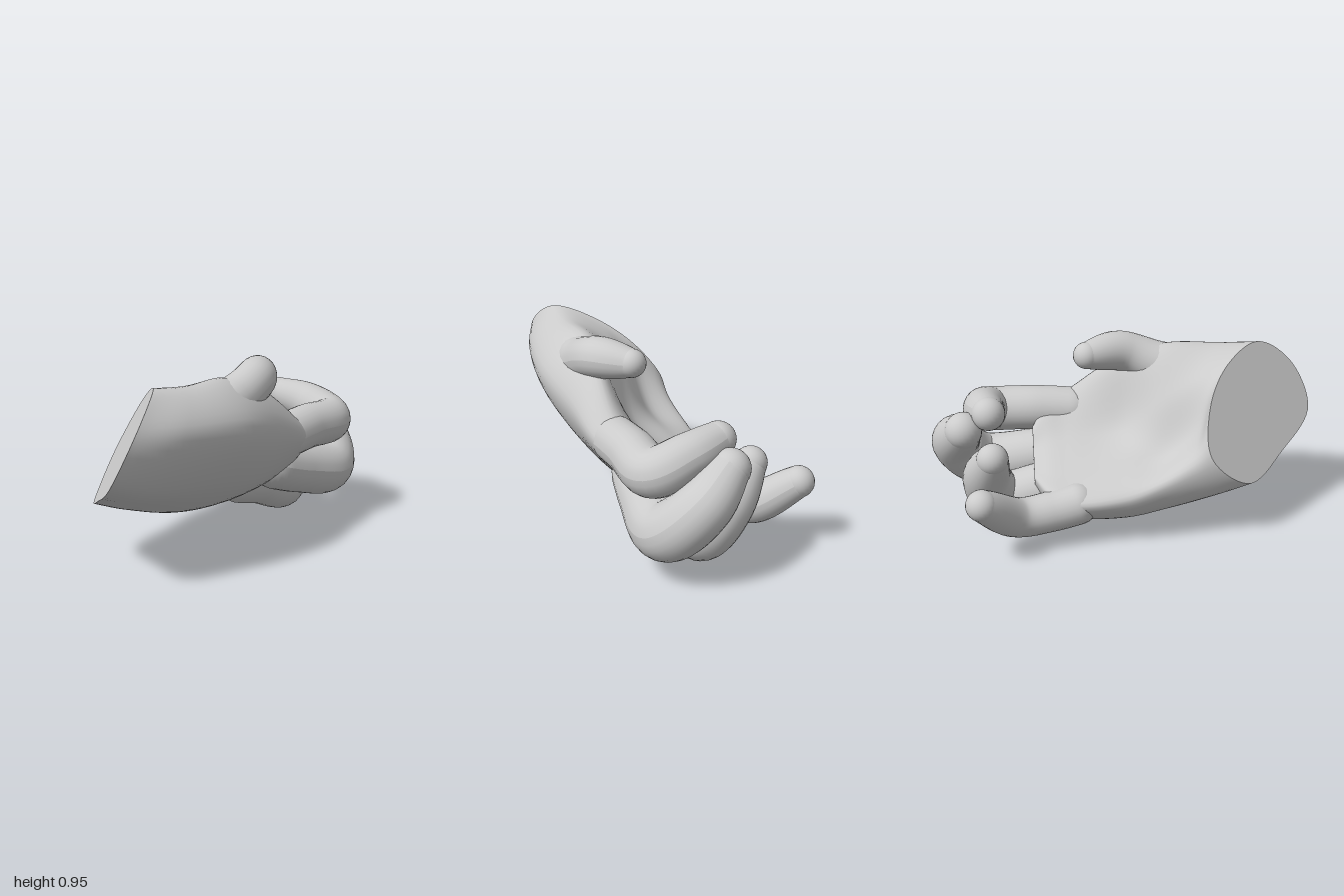
import * as THREE from 'three';

const material = new THREE.MeshStandardMaterial({ color: 0xcccccc });
const { lerp, smoothstep } = THREE.MathUtils;

function mesh(name, geometry) {
  const m = new THREE.Mesh(geometry, material);
  m.name = name;
  return m;
}

function surface(points, index) {
  const g = new THREE.BufferGeometry().setFromPoints(points);
  g.setIndex(index);
  g.computeVertexNormals();
  return g;
}

// Cross-section at depth z, leaning towards the slanted wrist cut;
// x,y pairs run from the little-finger edge over the palm and back under the hand
function section(z, slant, ...xy) {
  return Array.from({ length: xy.length / 2 }, (_, j) => {
    const x = xy[2 * j], y = xy[2 * j + 1];
    return new THREE.Vector3(x, y, z + slant * (1.35 * x - 0.82 * (y - 0.6)));
  });
}

function centerOf(points) {
  return points.reduce((s, p) => s.add(p), new THREE.Vector3()).divideScalar(points.length);
}

// Smooth rings through the cross-sections
function loftRings(sections, rows, cols) {
  const columns = sections[0].map((_, j) => new THREE.CatmullRomCurve3(sections.map(s => s[j])));
  return Array.from({ length: rows + 1 }, (_, i) => {
    const loop = new THREE.CatmullRomCurve3(columns.map(c => c.getPoint(i / rows)), true);
    return Array.from({ length: cols }, (_, j) => loop.getPoint(j / cols));
  });
}

// Skin joining successive rings
function skin(rings) {
  const cols = rings[0].length, index = [];
  for (let i = 0; i < rings.length - 1; i++) {
    for (let j = 0; j < cols; j++) {
      const a = i * cols + j, b = i * cols + (j + 1) % cols;
      index.push(a, b, b + cols, a, b + cols, a + cols);
    }
  }
  return surface(rings.flat(), index);
}

// Flat fan closing a ring
function cap(ring, flip) {
  const n = ring.length, index = [];
  for (let j = 0; j < n; j++) {
    const k = (j + 1) % n;
    index.push(n, flip ? k : j, flip ? j : k);
  }
  return surface([...ring, centerOf(ring)], index);
}

// Tube through the joints: rounded root, fleshy middle, round tip
function digit(name, [root, flesh, end], ...joints) {
  const curve = new THREE.CatmullRomCurve3(joints.map(p => new THREE.Vector3(...p)));
  const steps = 60, sides = 24;
  const g = new THREE.TubeGeometry(curve, steps, 1, sides);
  const pos = g.attributes.position, v = new THREE.Vector3();
  for (let i = 0; i <= steps; i++) {
    const u = i / steps, center = curve.getPointAt(u);
    const girth = u < 0.6 ? lerp(root, flesh, smoothstep(u, 0, 0.6)) : lerp(flesh, end, ((u - 0.6) / 0.4) ** 2);
    const r = girth * Math.sqrt(1 - Math.max(0, 1 - u / 0.15) ** 2);
    for (let j = 0; j <= sides; j++) {
      const k = i * (sides + 1) + j;
      v.fromBufferAttribute(pos, k).sub(center).multiplyScalar(r).add(center);
      pos.setXYZ(k, v.x, v.y, v.z);
    }
  }
  g.computeVertexNormals();
  const tip = mesh(name + 'Tip', new THREE.SphereGeometry(end, 24, 16));
  tip.position.copy(curve.getPoint(1));
  const group = new THREE.Group();
  group.name = name;
  group.add(mesh(name + 'Body', g), tip);
  return group;
}

export function createModel() {
  const hand = new THREE.Group();
  hand.name = 'hand';

  // Wrist, ball of the thumb, palm and knuckles
  const sections = [
    section(0.67, 1, -.27, .47, -.13, .69, .05, .845, .23, .9, .285, .75, .21, .53, -.02, .38, -.22, .3),
    section(0.45, 0.6, -.265, .41, -.1, .58, .05, .78, .26, .89, .39, .73, .26, .44, 0, .29, -.2, .24),
    section(0.2, 0.25, -.275, .33, -.08, .43, .07, .67, .27, .89, .475, .7, .34, .4, .05, .2, -.19, .17),
    section(0, 0, -.28, .27, -.08, .38, .13, .5, .31, .81, .465, .63, .34, .34, .06, .16, -.18, .12),
    section(-0.27, 0, -.265, .24, -.1, .33, .13, .45, .34, .62, .445, .53, .33, .34, .08, .175, -.16, .125),
  ];
  // The palm rounds off between the finger roots
  const knuckles = sections[4], middle = centerOf(knuckles);
  for (const [z, shrink] of [[-0.38, 0.18], [-0.46, 0.55]]) {
    sections.push(knuckles.map(p => p.clone().lerp(middle, shrink).setZ(z)));
  }

  const rings = loftRings(sections, 48, 60);
  hand.add(mesh('palm', skin(rings)));
  hand.add(mesh('wristCut', cap(rings[0], true)));
  hand.add(mesh('knuckleEnd', cap(rings[48], false)));

  // Digits, from root to tip
  hand.add(
    digit('thumb', [.13, .105, .07], [.27, .72, .36], [.3, .775, .2], [.305, .845, .02], [.21, .86, -.17]),
    digit('indexFinger', [.115, .118, .085], [.33, .51, -.12], [.345, .53, -.42], [.35, .53, -.67],
      [.2, .59, -.705], [.03, .63, -.68]),
    digit('middleFinger', [.125, .142, .095], [.21, .38, -.15], [.28, .29, -.46], [.32, .255, -.73],
      [.2, .41, -.855], [.04, .54, -.81]),
    digit('ringFinger', [.125, .135, .08], [.03, .26, -.12], [.06, .2, -.4], [.085, .137, -.63],
      [-.015, .29, -.7], [-.16, .465, -.665]),
    digit('littleFinger', [.108, .1, .078], [-.16, .23, -.15], [-.19, .18, -.38], [-.24, .18, -.55], [-.4, .335, -.72]),
  );
  return hand;
}
